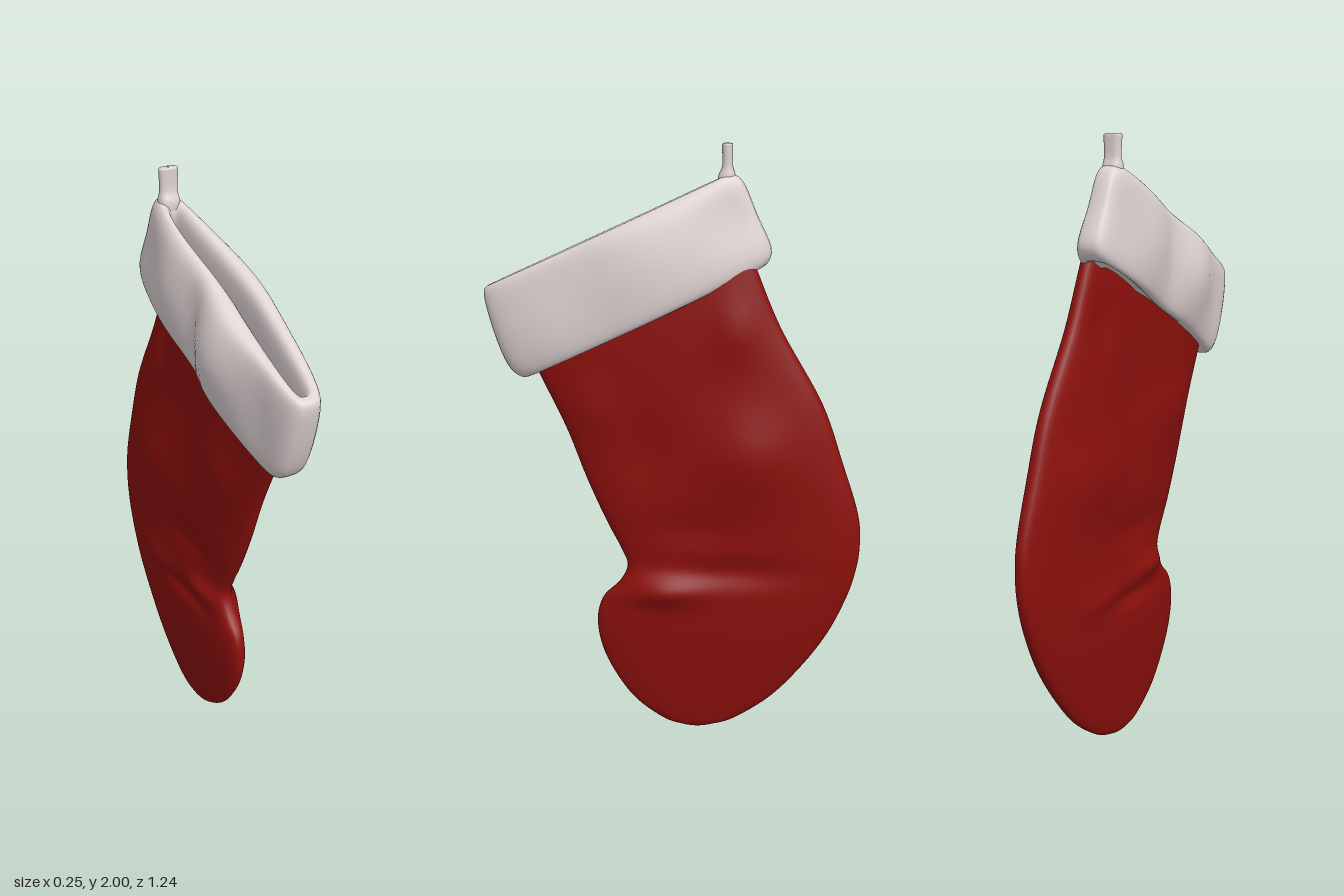
import * as THREE from 'three';

const SIDES = 72;

// Smoothly interpolates key rows (all columns) into a denser list of rows.
function resample(rows, steps, closed) {
  const n = rows.length, out = [];
  const at = (i) => rows[closed ? (i + n) % n : Math.min(n - 1, Math.max(0, i))];
  const spans = closed ? n : n - 1;
  for (let i = 0; i < spans; i++) {
    for (let k = 0; k < steps; k++) {
      const t = k / steps;
      out.push(at(i).map((p1, c) => {
        const p0 = at(i - 1)[c], p2 = at(i + 1)[c], p3 = at(i + 2)[c];
        return p1 + 0.5 * t * (p2 - p0 + t * (2 * p0 - 5 * p1 + 4 * p2 - p3 + t * (3 * (p1 - p2) + p3 - p0)));
      }));
    }
  }
  if (!closed) out.push(rows[n - 1]);
  return out;
}

// Lofts flattened rings. Row: front z, front y, back z, back y, half thickness.
// shape(side, z, y, u, half) returns x; side is -1..1 across, u is 0 front to 1 back.
function loft(rows, steps, closed, power, shape) {
  const rings = resample(rows, steps, closed), pos = [], idx = [];
  for (const [fz, fy, bz, by, half] of rings) {
    for (let j = 0; j < SIDES; j++) {
      const a = (j / SIDES) * Math.PI * 2, s = Math.sin(a);
      const u = (1 - Math.cos(a)) / 2;
      const side = Math.sign(s) * Math.pow(Math.abs(s), power);
      const z = fz + (bz - fz) * u, y = fy + (by - fy) * u;
      pos.push(shape(side, z, y, u, half), y, z);
    }
  }
  const n = rings.length;
  for (let i = 0; i < (closed ? n : n - 1); i++) {
    for (let j = 0; j < SIDES; j++) {
      const k = (j + 1) % SIDES, r = ((i + 1) % n) * SIDES, q = i * SIDES;
      idx.push(q + j, r + j, q + k, q + k, r + j, r + k);
    }
  }
  const g = new THREE.BufferGeometry();
  g.setAttribute('position', new THREE.Float32BufferAttribute(pos, 3));
  g.setIndex(idx);
  g.computeVertexNormals();
  return g;
}

// Sum of soft bumps, each [side, z, y, size z, size y, height]
function bumps(list, side, z, y) {
  let d = 0;
  for (const [s, bz, by, sz, sy, h] of list) {
    if (s * side > 0) d += h * side * Math.exp(-(((z - bz) / sz) ** 2) - (((y - by) / sy) ** 2));
  }
  return d;
}

export function createModel() {
  const group = new THREE.Group();
  const add = (name, geometry, color) => {
    const mesh = new THREE.Mesh(geometry, new THREE.MeshStandardMaterial({ color, side: THREE.DoubleSide }));
    mesh.name = name;
    group.add(mesh);
  };

  // Sock body: rings from the open top round the heel to the sole
  const sockRows = [
    [0.49, 1.36, -0.23, 1.68, 0.055],
    [0.456, 1.277, -0.26, 1.605, 0.06],
    [0.366, 1.086, -0.34, 1.42, 0.063],
    [0.30, 0.91, -0.477, 1.18, 0.065],
    [0.235, 0.76, -0.55, 0.98, 0.065],
    [0.185, 0.66, -0.608, 0.80, 0.06],
    [0.166, 0.60, -0.617, 0.68, 0.06],
    [0.195, 0.54, -0.602, 0.58, 0.062],
    [0.254, 0.477, -0.573, 0.49, 0.062],
    [0.272, 0.38, -0.52, 0.375, 0.058],
    [0.24, 0.255, -0.44, 0.255, 0.048],
    [0.154, 0.117, -0.33, 0.13, 0.036],
    [0.05, 0.035, -0.207, 0.043, 0.026],
    [-0.02, 0.011, -0.13, 0.015, 0.016],
    [-0.07, 0.003, -0.08, 0.003, 0.002],
  ];
  // Creases at the ankle, dents and puffs in the leg
  const sockBumps = [
    [1, -0.25, 1.0, 0.14, 0.14, 0.032], [1, 0.05, 0.53, 0.13, 0.05, 0.04],
    [1, -0.2, 0.6, 0.2, 0.05, -0.02], [1, 0.1, 1.0, 0.1, 0.14, -0.015],
    [1, -0.2, 1.42, 0.07, 0.1, 0.02], [1, 0.28, 1.15, 0.07, 0.08, 0.015],
    [1, -0.05, 0.75, 0.15, 0.06, -0.012],
    [-1, 0.09, 0.58, 0.1, 0.035, 0.03], [-1, -0.05, 0.5, 0.16, 0.03, -0.018],
    [-1, -0.25, 0.53, 0.12, 0.05, 0.012], [-1, -0.22, 1.42, 0.05, 0.09, -0.022],
    [-1, -0.3, 0.95, 0.15, 0.12, 0.022], [-1, 0.0, 0.73, 0.16, 0.06, -0.016],
    [-1, 0.2, 1.1, 0.12, 0.1, 0.018], [-1, -0.05, 1.2, 0.1, 0.14, -0.014],
  ];
  add('sock', loft(sockRows, 6, false, 0.75, (side, z, y, u, half) =>
    0.018 + half * side + bumps(sockBumps, side, z, y)), 0x8c100c);

  // Cuff: closed band, up the inside, over the rim, down the outside
  const cuffRows = [
    [0.45, 1.30, -0.20, 1.60, 0.028],
    [0.515, 1.43, -0.165, 1.74, 0.028],
    [0.575, 1.54, -0.13, 1.86, 0.03],
    [0.602, 1.556, -0.165, 1.905, 0.058],
    [0.622, 1.525, -0.21, 1.88, 0.085],
    [0.592, 1.40, -0.255, 1.78, 0.098],
    [0.55, 1.295, -0.302, 1.675, 0.098],
    [0.50, 1.255, -0.285, 1.623, 0.085],
    [0.45, 1.285, -0.245, 1.615, 0.055],
  ];
  const cuffBumps = [
    [-1, 0.26, 1.56, 0.13, 0.16, 0.05], [-1, -0.02, 1.66, 0.1, 0.15, 0.02],
    [-1, 0.12, 1.6, 0.04, 0.14, -0.015], [-1, 0.47, 1.4, 0.07, 0.15, -0.012],
    [1, 0.1, 1.65, 0.2, 0.16, 0.015], [1, 0.4, 1.4, 0.12, 0.12, 0.008],
    [1, -0.2, 1.78, 0.1, 0.12, -0.022], [-1, -0.2, 1.75, 0.1, 0.12, -0.015],
  ];
  add('cuff', loft(cuffRows, 5, true, 0.55, (side, z, y, u, half) => {
    const lean = 0.02 - 0.045 * THREE.MathUtils.smoothstep(u, 0.45, 1);
    const outer = THREE.MathUtils.smoothstep(half, 0.03, 0.09);
    return lean + half * side + outer * bumps(cuffBumps, side, z, y);
  }), 0xdfd3d3);

  // Hanging tab at the back of the rim
  const tabRows = [
    [-0.155, 2.0, -0.16, 2.0, 0.004],
    [-0.142, 1.998, -0.173, 1.998, 0.029],
    [-0.141, 1.985, -0.175, 1.985, 0.031],
    [-0.142, 1.93, -0.176, 1.93, 0.029],
    [-0.13, 1.90, -0.185, 1.90, 0.034],
    [-0.13, 1.87, -0.185, 1.87, 0.034],
  ];
  add('hangingTab', loft(tabRows, 3, false, 0.6, (side, z, y, u, half) => -0.027 + half * side), 0xdfd3d3);

  return group;
}
